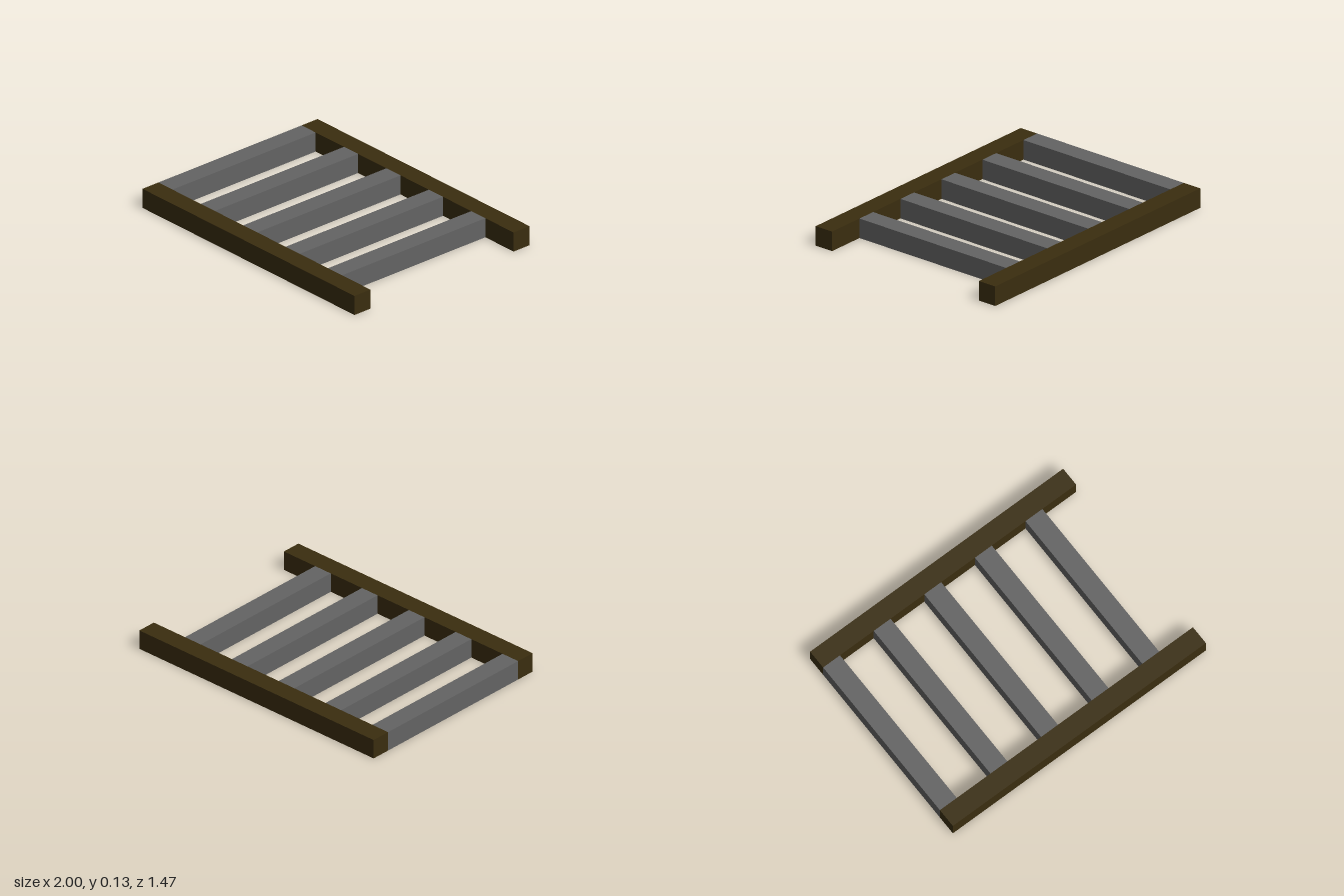
import * as THREE from 'three';

export function createModel() {
  const group = new THREE.Group();
  const wood = new THREE.MeshStandardMaterial({ color: 0x3a2d0f });
  wood.name = 'dark brown wood';
  const metal = new THREE.MeshStandardMaterial({ color: 0x636363 });
  metal.name = 'grey metal';

  const T = 2 / 15; // thickness of every beam
  const inner = 0.6; // half the gap between the rails

  function beam(name, width, depth, x, z, material) {
    const mesh = new THREE.Mesh(new THREE.BoxGeometry(width, T, depth), material);
    mesh.name = name;
    mesh.position.set(x, T / 2, z);
    group.add(mesh);
  }

  // Two long side rails
  beam('frontRail', 2, T, 0, inner + T / 2, wood);
  beam('backRail', 2, T, 0, -inner - T / 2, wood);

  // Five cross bars, the first flush with the right end
  for (let i = 0; i < 5; i++) {
    beam(`crossBar${i + 1}`, T, inner * 2, -1 + T / 2 + i * 0.4, 0, metal);
  }

  return group;
}
